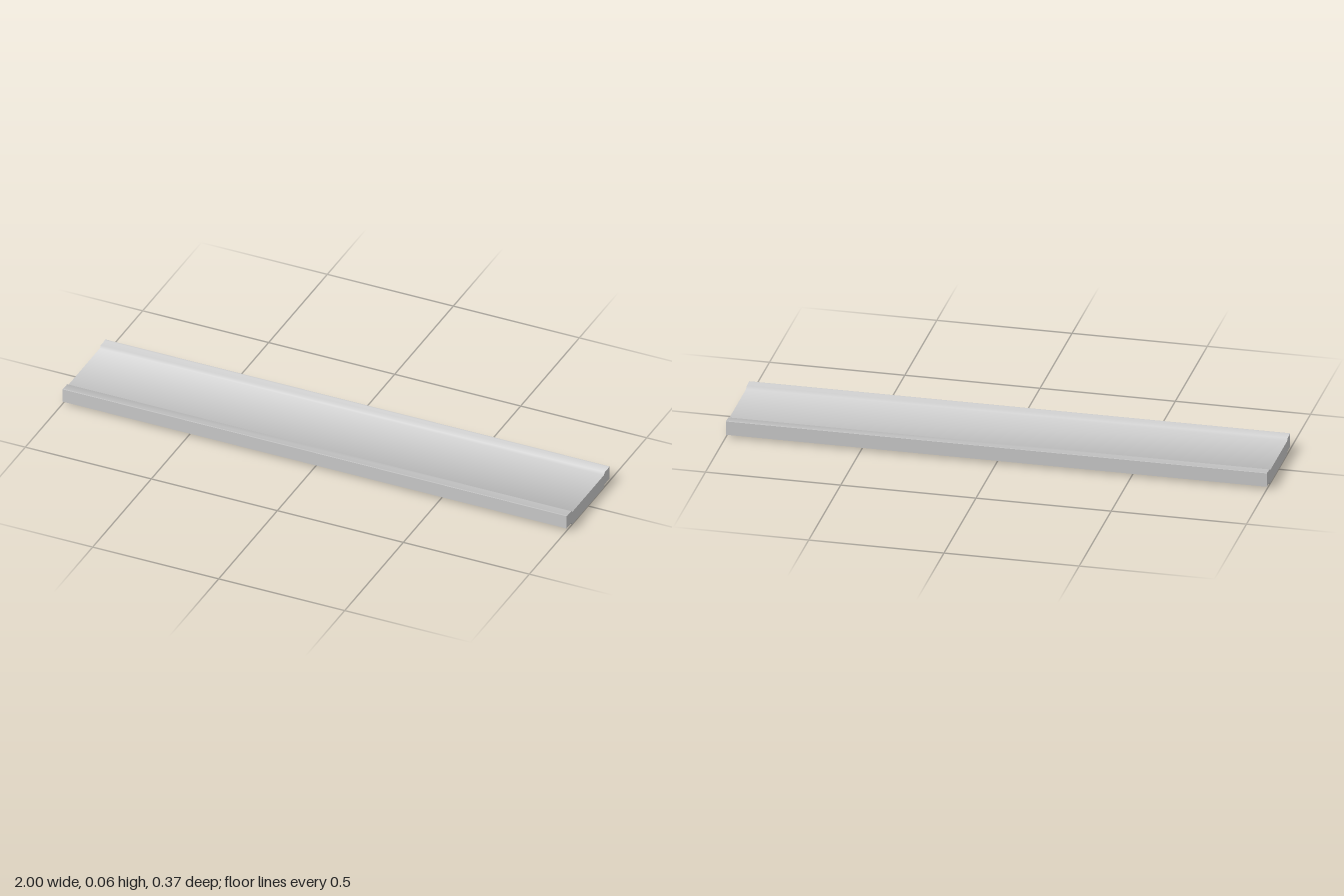
import * as THREE from 'three';
import { toCreasedNormals } from 'three/addons/utils/BufferGeometryUtils.js';

export function createModel() {
  const group = new THREE.Group();
  group.name = 'plank';

  // Half of the cross-section as [z, y], from bottom middle round to top middle
  const half = [
    [0.134, 0], [0.142, 0.01], [0.16, 0.0105], [0.183, 0.01],
    [0.183, 0.0625], [0.176, 0.0625], [0.174, 0.061],
    [0.143, 0.061], [0.134, 0.0525],
  ];
  const mirrored = half.map(([z, y]) => [-z, y]).reverse();
  const profile = new THREE.Shape([...half, ...mirrored].map(([z, y]) => new THREE.Vector2(z, y)));

  // Sweep the profile along the full length, softening the shallow bends
  let geometry = new THREE.ExtrudeGeometry(profile, { depth: 2, bevelEnabled: false });
  geometry.translate(0, 0, -1);
  geometry.rotateY(Math.PI / 2);
  geometry = toCreasedNormals(geometry, 0.95);

  const board = new THREE.Mesh(geometry, new THREE.MeshStandardMaterial({ color: 0xcccccc }));
  board.name = 'board';
  group.add(board);
  return group;
}
